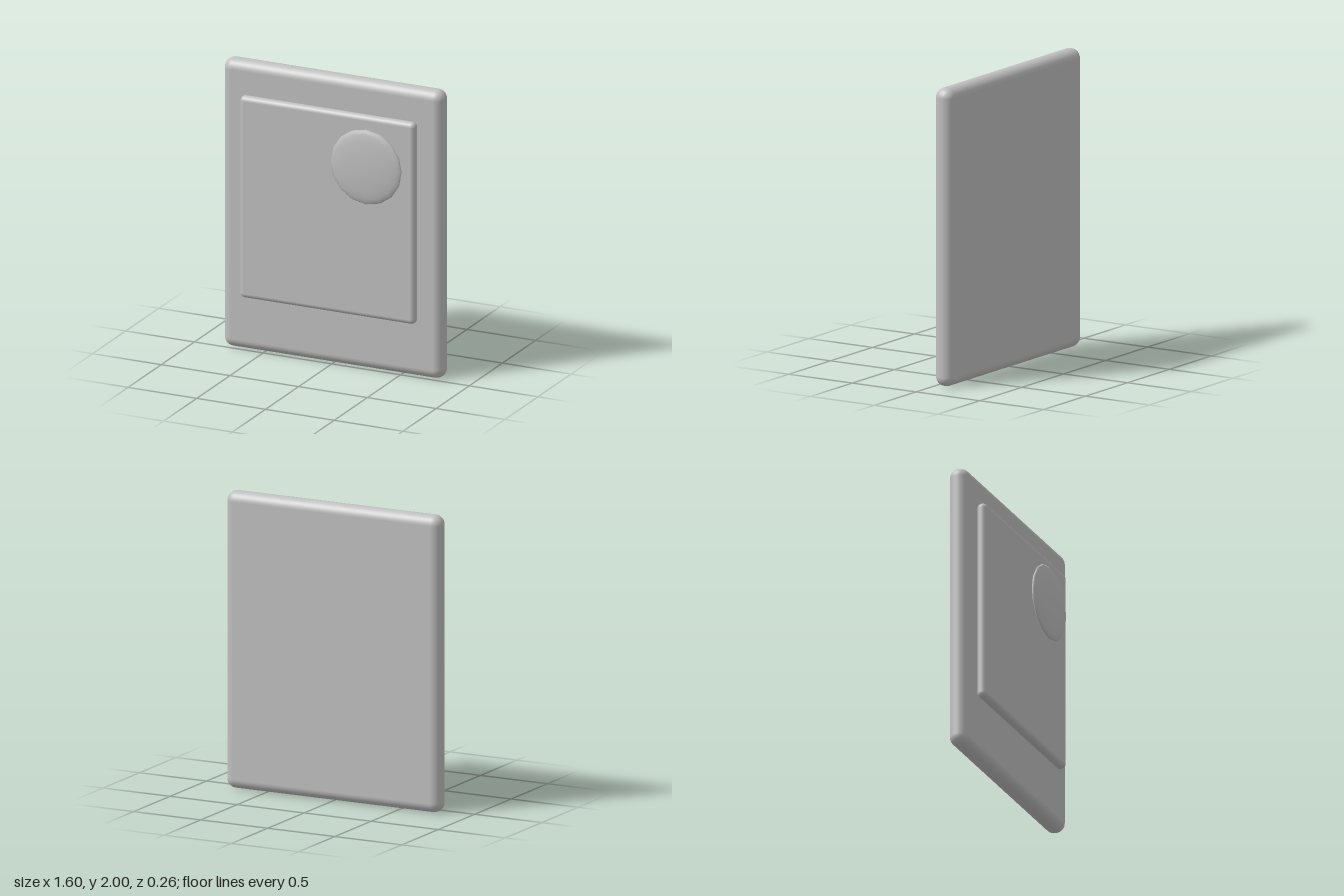
import * as THREE from 'three';
import { RoundedBoxGeometry } from 'three/addons/geometries/RoundedBoxGeometry.js';

export function createModel() {
  const model = new THREE.Group();
  const grey = new THREE.MeshStandardMaterial({ color: 0xc0c0c0 });
  grey.name = 'plain grey';

  const add = (name, geometry, x, y, z) => {
    const mesh = new THREE.Mesh(geometry, grey);
    mesh.name = name;
    mesh.position.set(x, y, z);
    model.add(mesh);
  };

  // Thick back board with fully rounded edges
  add('backBoard', new RoundedBoxGeometry(1.6, 2, 0.137, 5, 0.066), 0, 1, -0.063);

  // Thinner panel raised on the front
  add('frontPanel', new RoundedBoxGeometry(1.277, 1.4, 0.07, 4, 0.034), -0.002, 1.085, 0.041);

  // Flattened sixteen-sided dome, its axis pointing forward
  const dome = new THREE.SphereGeometry(1, 16, 12);
  dome.rotateX(Math.PI / 2);
  dome.scale(0.259, 0.259, 0.032);
  add('dome', dome, 0.298, 1.444, 0.1);

  return model;
}
